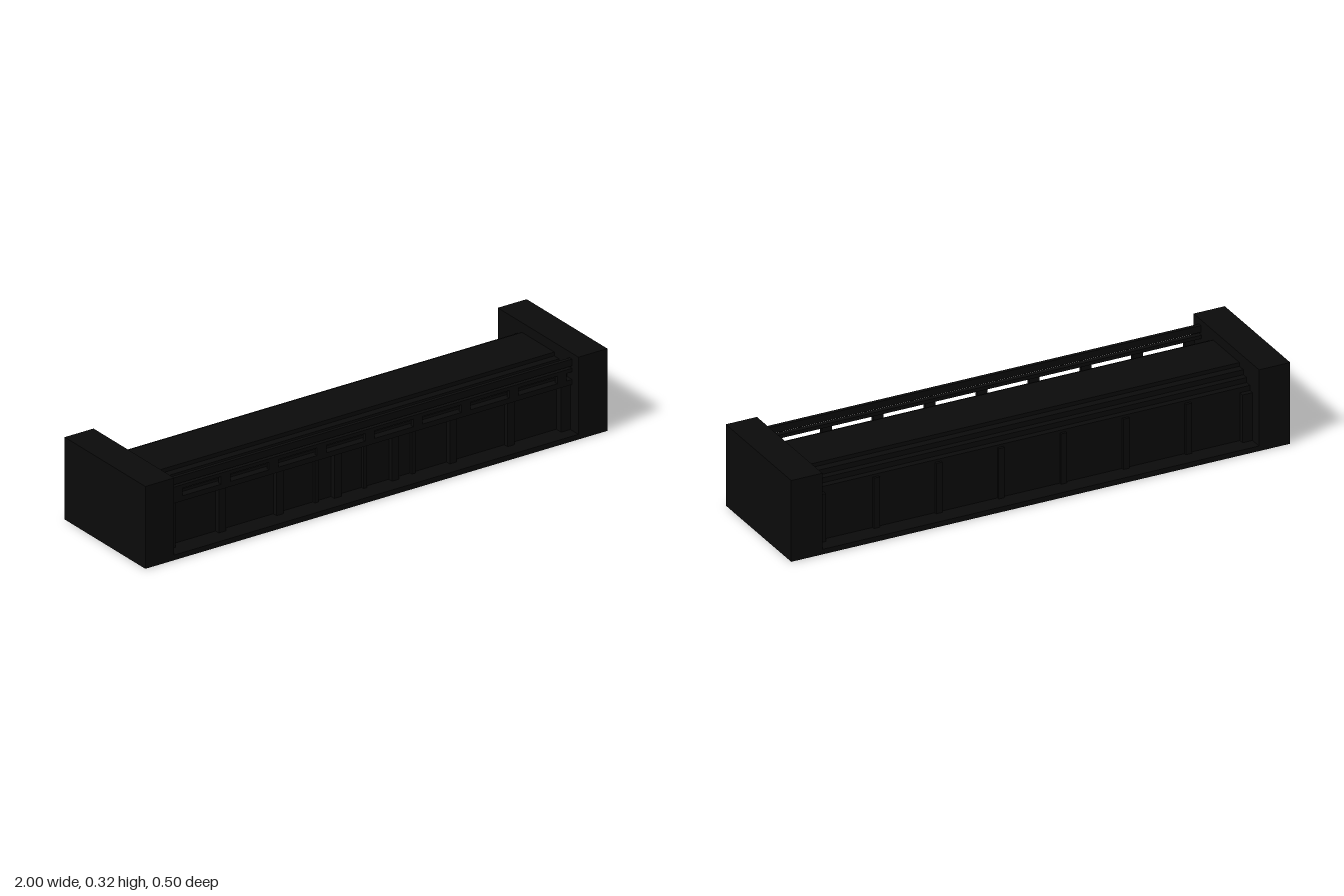
import * as THREE from 'three';

export function createModel() {
  const group = new THREE.Group();
  const black = new THREE.MeshStandardMaterial({ color: 0x0a0a0a });
  black.name = 'black';

  // Box given by its lower and upper limits on each axis
  const box = (name, x0, x1, y0, y1, z0, z1) => {
    const mesh = new THREE.Mesh(new THREE.BoxGeometry(x1 - x0, y1 - y0, z1 - z0), black);
    mesh.name = name;
    mesh.position.set((x0 + x1) / 2, (y0 + y1) / 2, (z0 + z1) / 2);
    group.add(mesh);
  };
  const inner = 0.875;

  // Plinth under the hall and tall blocks at both ends
  box('plinth', -inner, inner, 0, 0.02, -0.25, 0.25);
  box('rightEndBlock', -1, -inner, 0, 0.323, -0.25, 0.25);
  box('leftEndBlock', inner, 1, 0, 0.323, -0.25, 0.25);

  // Recessed hall, then a stepped roof
  box('hall', -inner, inner, 0.02, 0.21, -0.18, 0.17);
  const steps = [[0.21, 0.23, 0.18], [0.23, 0.25, 0.155], [0.25, 0.27, 0.13], [0.27, 0.285, 0.1]];
  for (const [y0, y1, z] of steps) box('roofStep', -inner, inner, y0, y1, -z, z);

  // Pilasters dividing both long walls into seven bays
  for (let i = 0; i < 6; i++) {
    const x = -0.625 + i * 0.25;
    box('frontPilaster', x - 0.015, x + 0.015, 0.02, 0.2, 0.17, 0.19);
    box('backPilaster', x - 0.012, x + 0.012, 0.02, 0.22, -0.19, -0.18);
  }

  // Mullions at the central entrance
  for (const x of [-0.21, 0, 0.21]) box('entranceMullion', x - 0.008, x + 0.008, 0.02, 0.2, 0.17, 0.182);

  // Jambs against the end blocks
  for (const s of [-1, 1]) {
    const a = Math.min(s * 0.835, s * inner);
    box('frontJamb', a, a + 0.04, 0.02, 0.2, 0.17, 0.2);
    box('backJamb', a, a + 0.04, 0.02, 0.21, -0.2, -0.18);
  }

  // Front cornice carrying an open railing
  box('frontCornice', -inner, inner, 0.2, 0.22, 0.17, 0.21);
  box('lowerRail', -inner, inner, 0.25, 0.264, 0.19, 0.21);
  box('upperRail', -inner, inner, 0.273, 0.3, 0.195, 0.21);
  for (let i = -4; i <= 4; i++) {
    const x = i * 0.208;
    box('railPost', x - 0.02, x + 0.02, 0.22, 0.25, 0.195, 0.21);
  }
  return group;
}
